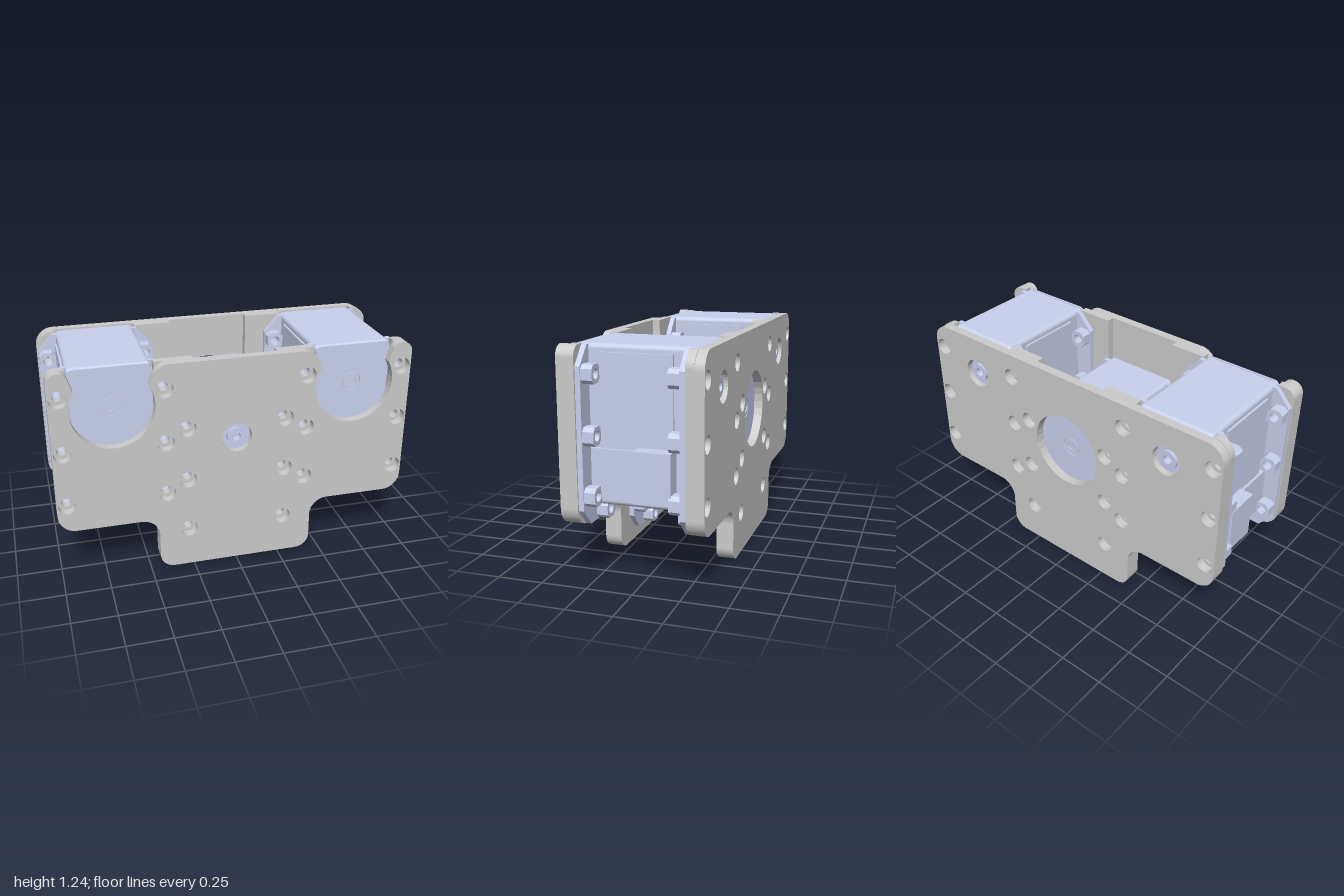
import * as THREE from 'three';
import { RoundedBoxGeometry } from 'three/addons/geometries/RoundedBoxGeometry.js';

const grey = new THREE.MeshStandardMaterial({ color: 0xcccccc });
const blue = new THREE.MeshStandardMaterial({ color: 0xcad1ee });

// Closed shape from [x, y, cornerRadius] points
function roundedShape(pts) {
  const s = new THREE.Shape();
  const n = pts.length, k = 0.45;
  pts.forEach(([x, y, r], i) => {
    const c = new THREE.Vector2(x, y);
    const toward = (q, d) => new THREE.Vector2(q[0], q[1]).sub(c).setLength(d).add(c);
    const prev = pts[(i + n - 1) % n], next = pts[(i + 1) % n];
    const a = r ? toward(prev, r) : c;
    if (i === 0) s.moveTo(a.x, a.y); else s.lineTo(a.x, a.y);
    if (r) {
      const b = toward(next, r), c1 = toward(prev, r * k), c2 = toward(next, r * k);
      s.bezierCurveTo(c1.x, c1.y, c2.x, c2.y, b.x, b.y);
    }
  });
  s.closePath();
  return s;
}

// Right half of an outline plus its mirror image
const mirrored = half => [...half, ...half.map(([x, y, r]) => [-x, y, r]).reverse()];

function addHole(shape, x, y, r) {
  shape.holes.push(new THREE.Path().absarc(x, y, r, 0, Math.PI * 2, true));
}

function slab(name, shape, z0, z1, material) {
  const g = new THREE.ExtrudeGeometry(shape, { depth: z1 - z0, bevelEnabled: false, curveSegments: 16 });
  g.translate(0, 0, z0);
  const m = new THREE.Mesh(g, material);
  m.name = name;
  return m;
}

function box(name, x0, x1, y0, y1, z0, z1) {
  const g = new THREE.BoxGeometry(x1 - x0, y1 - y0, z1 - z0);
  g.translate((x0 + x1) / 2, (y0 + y1) / 2, (z0 + z1) / 2);
  const m = new THREE.Mesh(g, blue);
  m.name = name;
  return m;
}

function ring(name, outer, inner, z0, z1) {
  const s = new THREE.Shape().absarc(0, 0, outer, 0, Math.PI * 2);
  addHole(s, 0, 0, inner);
  return slab(name, s, z0, z1, blue);
}

// Screw positions shared by both plates
const screws = [];
for (const sx of [-1, 1]) {
  for (const x of [0.395, 0.945]) for (const y of [1.1, 0.79, 0.48]) screws.push([sx * x, y]);
  for (const y of [0.86, 0.55, 0.235]) screws.push([sx * 0.275, y]);
}

const AXIS = { x: 0.67, sideY: 1.02, midY: 0.775 };
const base = [[0.445, 0, 0.08], [0.445, 0.32, 0.1], [1, 0.32, 0.1]];

// Plate = outer layer with counterbores + inner layer with motor pockets
function plate(name, isFront) {
  const g = new THREE.Group();
  g.name = name;
  let half = [...base, [1, 1.24, 0.1]];
  if (isFront) {
    // open round notches around the side motors
    half = [...base, [1, 1.24, 0.06], [0.9, 1.24, 0.035]];
    for (let i = 0; i <= 28; i++) {
      const a = (30 - i * 240 / 28) * Math.PI / 180;
      half.push([AXIS.x + 0.225 * Math.cos(a), AXIS.sideY + 0.225 * Math.sin(a), 0]);
    }
    half.push([0.43, 1.24, 0.06]);
  }
  const outer = roundedShape(mirrored(half));
  const inner = roundedShape(mirrored([
    ...base, [1, 1.24, isFront ? 0.06 : 0.09], [0.9, 1.24, 0], [0.9, 0.41, 0.02],
    [0.44, 0.41, 0.02], [0.44, 1.24, 0], [0.23, 1.24, 0], [0.23, 0.165, 0.02],
  ]));
  for (const [x, y] of screws) {
    addHole(outer, x, y, 0.048);
    addHole(inner, x, y, 0.027);
  }
  addHole(outer, 0, AXIS.midY, isFront ? 0.085 : 0.22);
  if (!isFront) for (const s of [-1, 1]) addHole(outer, s * AXIS.x, AXIS.sideY, 0.085);
  const s = isFront ? 1 : -1;
  const span = (a, b) => (s > 0 ? [a, b] : [-b, -a]);
  g.add(slab('plateOuterLayer', outer, ...span(0.325, 0.375), grey));
  g.add(slab('plateInnerLayer', inner, ...span(0.28, 0.325), grey));
  return g;
}

// Motor with its output axis at the origin, output facing +z
function motor(name) {
  const g = new THREE.Group();
  g.name = name;
  const body = new THREE.Mesh(new RoundedBoxGeometry(0.44, 0.82, 0.64, 3, 0.025), blue);
  body.name = 'motorBody';
  body.position.y = -0.19;
  g.add(body);

  // output cap with a recessed centre
  const cap = roundedShape([[0.215, 0.215, 0.03], [-0.215, 0.215, 0.03], [-0.215, -0.595, 0.02], [0.215, -0.595, 0.02]]);
  addHole(cap, 0, 0, 0.055);
  g.add(slab('outputCap', cap, 0.315, 0.325, blue));
  g.add(ring('outputHub', 0.05, 0.027, 0.31, 0.325));

  // stepped idler boss at the far end
  g.add(ring('idlerBoss', 0.08, 0.05, -0.345, -0.31));
  g.add(ring('idlerHub', 0.052, 0.025, -0.36, -0.31));

  // lug positions along both sides and the bottom
  const lugs = [];
  for (const s of [-1, 1]) {
    for (const y of [0.08, -0.23, -0.54]) lugs.push([s * 0.276, y, 0.045, 0.048]);
    lugs.push([s * 0.12, -0.65, 0.05, 0.045]);
  }
  for (const end of [-1, 1]) {
    const span = (a, b) => (end > 0 ? [a, b] : [-b, -a]);
    const flange = roundedShape(mirrored([[0.24, -0.7, 0], [0.325, -0.61, 0], [0.325, 0.12, 0], [0.24, 0.215, 0]]));
    for (const [x, y, w, h] of lugs) {
      addHole(flange, x, y, 0.027);
      // lug with chamfered corners
      const c = 0.02;
      const lug = roundedShape([
        [x - w, y - h + c, 0], [x - w + c, y - h, 0], [x + w - c, y - h, 0], [x + w, y - h + c, 0],
        [x + w, y + h - c, 0], [x + w - c, y + h, 0], [x - w + c, y + h, 0], [x - w, y + h - c, 0],
      ]);
      addHole(lug, x, y, 0.027);
      g.add(slab('screwLug', lug, ...span(0.19, 0.25), blue));
    }
    g.add(slab('mountingFlange', flange, ...span(0.25, 0.278), blue));
  }

  // side covers and connectors
  for (const s of [-1, 1]) {
    const span = (a, b) => (s > 0 ? [a, b] : [-b, -a]);
    g.add(box('sideCover', ...span(0.2, 0.232), -0.57, 0.18, -0.19, 0.19));
    g.add(box('sidePanel', ...span(0.2, 0.245), -0.56, -0.3, 0, 0.24));
    g.add(box('connector', ...span(0.2, 0.31), -0.55, -0.285, -0.2, -0.005));
  }
  return g;
}

export function createModel() {
  const model = new THREE.Group();
  model.name = 'motorBracket';
  model.add(plate('frontPlate', true), plate('backPlate', false));
  for (const [name, s] of [['leftMotor', 1], ['rightMotor', -1]]) {
    const m = motor(name);
    m.position.set(s * AXIS.x, AXIS.sideY, 0);
    model.add(m);
  }
  // middle motor faces the back
  const middle = motor('middleMotor');
  middle.position.y = AXIS.midY;
  middle.rotation.y = Math.PI;
  model.add(middle);
  return model;
}
